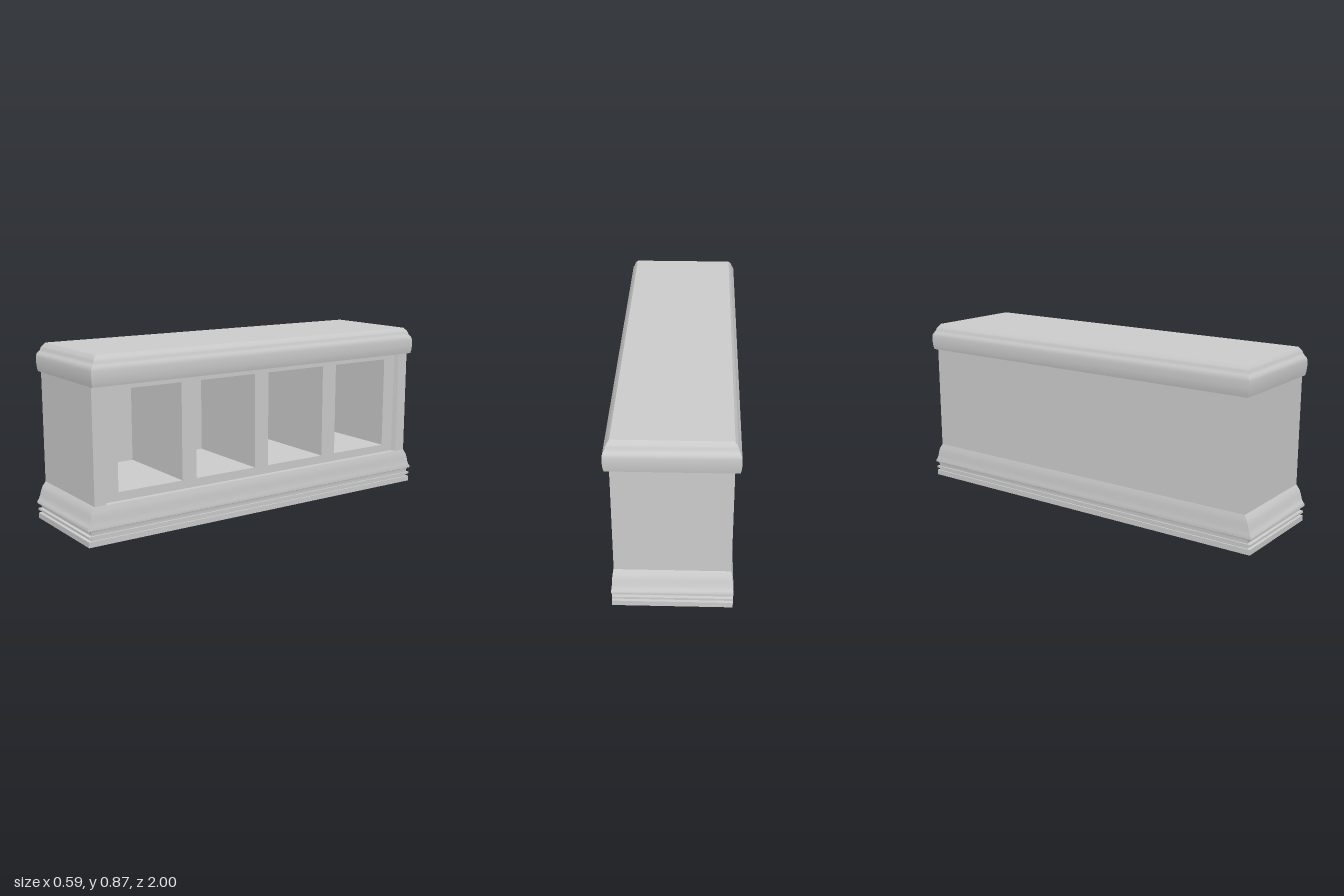
import * as THREE from 'three';
import { toCreasedNormals } from 'three/addons/utils/BufferGeometryUtils.js';

const material = new THREE.MeshStandardMaterial({ color: 0xcccccc });

// Rectangular moulding lofted through [halfX, halfZ, y] rings, capped at both ends
function moulding(rings) {
  const pos = [];
  const corner = ([x, z, y], i) => [[x, y, z], [x, y, -z], [-x, y, -z], [-x, y, z]][i % 4];
  const quad = (a, b, c, d) => pos.push(...a, ...b, ...c, ...a, ...c, ...d);
  for (let r = 0; r < rings.length - 1; r++) {
    for (let i = 0; i < 4; i++) {
      quad(corner(rings[r], i), corner(rings[r], i + 1), corner(rings[r + 1], i + 1), corner(rings[r + 1], i));
    }
  }
  const lo = rings[0], hi = rings[rings.length - 1];
  quad(corner(lo, 3), corner(lo, 2), corner(lo, 1), corner(lo, 0));
  quad(corner(hi, 0), corner(hi, 1), corner(hi, 2), corner(hi, 3));
  const g = new THREE.BufferGeometry();
  g.setAttribute('position', new THREE.Float32BufferAttribute(pos, 3));
  return toCreasedNormals(g, 0.75);
}

export function createModel() {
  const group = new THREE.Group();
  const add = (name, geometry) => {
    const mesh = new THREE.Mesh(geometry, material);
    mesh.name = name;
    group.add(mesh);
    return mesh;
  };
  const bottom = 0.183, top = 0.728, wallX = 0.265, wallZ = 0.957, panelX = 0.24, backX = -0.25;

  // Stepped plinth with a flared upper moulding
  add('plinth', moulding([
    [0.275, 0.995, 0], [0.275, 0.995, 0.027], [0.271, 0.979, 0.028], [0.271, 0.979, 0.039],
    [0.275, 0.995, 0.04], [0.275, 0.995, 0.051], [0.271, 0.98, 0.052], [0.271, 0.979, 0.064],
    [0.273, 0.986, 0.074], [0.277, 1, 0.076], [0.277, 1, 0.086], [0.275, 0.992, 0.097],
    [0.273, 0.985, 0.115], [0.272, 0.979, 0.14], [0.27, 0.972, 0.16], [wallX, wallZ, bottom],
  ]));

  // Overhanging rounded cornice with the counter top
  add('cornice', moulding([
    [0.287, 0.963, top], [0.291, 0.966, 0.745], [0.293, 0.968, 0.77], [0.293, 0.968, 0.8],
    [0.291, 0.965, 0.813], [0.286, 0.957, 0.823], [0.281, 0.951, 0.831], [0.279, 0.948, 0.842],
    [0.275, 0.944, 0.85], [0.262, 0.93, 0.867],
  ]));

  // Cabinet body pierced by four deep compartments (shape runs along -z)
  const face = new THREE.Shape();
  face.moveTo(-wallZ, bottom).lineTo(wallZ, bottom).lineTo(wallZ, top).lineTo(-wallZ, top).closePath();
  for (const [z0, z1] of [[0.478, 0.822], [0.052, 0.398], [-0.382, -0.03], [-0.815, -0.47]]) {
    const hole = new THREE.Path();
    hole.moveTo(-z1, 0.225).lineTo(-z1, 0.7).lineTo(-z0, 0.7).lineTo(-z0, 0.225).closePath();
    face.holes.push(hole);
  }
  const body = new THREE.ExtrudeGeometry(face, { depth: panelX - backX, bevelEnabled: false });
  add('compartments', body.rotateY(Math.PI / 2).translate(backX, 0, 0));

  // Plain back wall
  const back = new THREE.BoxGeometry(wallX + backX, top - bottom, 2 * wallZ);
  add('backWall', back.translate((backX - wallX) / 2, (top + bottom) / 2, 0));

  // Corner pilasters framing the recessed face, with a slightly splayed inner edge
  for (const s of [-1, 1]) {
    const plan = new THREE.Shape();
    plan.moveTo(panelX, s * wallZ).lineTo(wallX, s * wallZ).lineTo(wallX, s * 0.898)
      .lineTo(panelX, s * 0.888).closePath();
    const pilaster = new THREE.ExtrudeGeometry(plan, { depth: top - bottom, bevelEnabled: false });
    add('pilaster', pilaster.rotateX(-Math.PI / 2).translate(0, bottom, 0));
  }
  return group;
}
